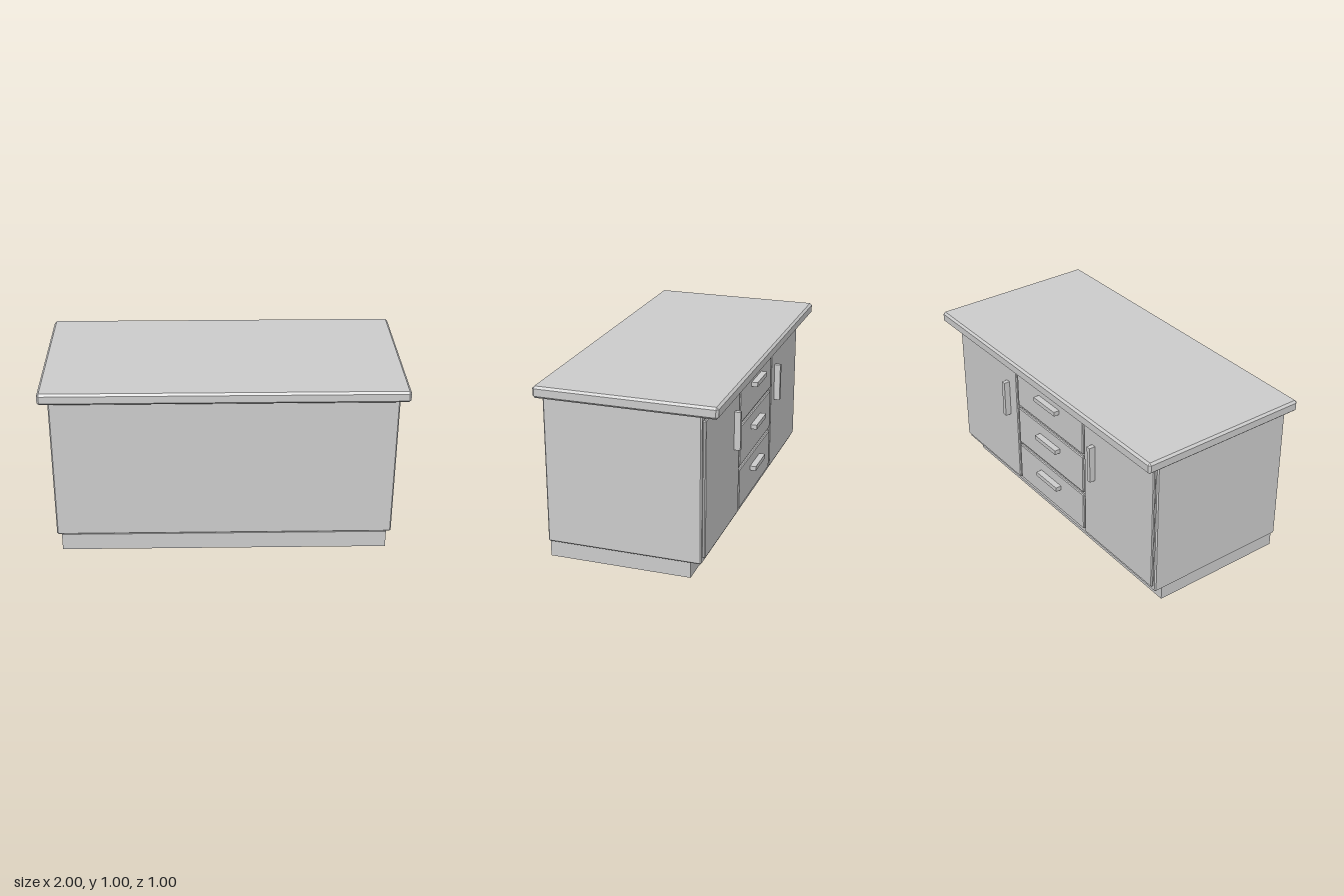
import * as THREE from 'three';
import { ConvexGeometry } from 'three/addons/geometries/ConvexGeometry.js';

const material = new THREE.MeshStandardMaterial({ color: 0xcccccc, flatShading: true });

// Box between two corners, with optional chamfered edges of width c
function block(name, [x0, y0, z0], [x1, y1, z1], c = 0) {
  const w = x1 - x0, h = y1 - y0, d = z1 - z0;
  let geometry;
  if (c > 0) {
    const points = [];
    for (const sx of [-0.5, 0.5]) for (const sy of [-0.5, 0.5]) for (const sz of [-0.5, 0.5]) {
      points.push(
        new THREE.Vector3(sx * w, sy * (h - 2 * c), sz * (d - 2 * c)),
        new THREE.Vector3(sx * (w - 2 * c), sy * h, sz * (d - 2 * c)),
        new THREE.Vector3(sx * (w - 2 * c), sy * (h - 2 * c), sz * d));
    }
    geometry = new ConvexGeometry(points);
  } else {
    geometry = new THREE.BoxGeometry(w, h, d);
  }
  const mesh = new THREE.Mesh(geometry, material);
  mesh.name = name;
  mesh.position.set((x0 + x1) / 2, (y0 + y1) / 2, (z0 + z1) / 2);
  return mesh;
}

export function createModel() {
  const group = new THREE.Group();
  group.name = 'kitchenIsland';

  // Recessed plinth, cabinet body and overhanging worktop
  group.add(
    block('plinth', [-0.92, 0, -0.333], [0.92, 0.1, 0.467]),
    block('cabinetBody', [-0.947, 0.1, -0.4], [0.947, 0.933, 0.467], 0.007),
    block('worktop', [-1, 0.935, -0.5], [1, 1, 0.5], 0.012));

  // Doors and drawers sit on the back of the body
  const back = -0.4, face = -0.418, grip = -0.453;
  const bottom = 0.135, top = 0.9;

  // Mirrored pair of doors, handles near the inner edges
  for (const s of [-1, 1]) {
    const side = s > 0 ? 'left' : 'right';
    const cx = s * 0.634, hx = s * 0.42;
    group.add(
      block(side + 'Door', [cx - 0.301, bottom, face], [cx + 0.301, top, back], 0.005),
      block(side + 'DoorHandle', [hx - 0.013, 0.547, grip], [hx + 0.013, 0.768, face]));
  }

  // Three stacked drawers
  const pitch = (top - bottom) / 3;
  for (let i = 0; i < 3; i++) {
    const cy = bottom + (i + 0.5) * pitch, hy = cy + 0.041;
    group.add(
      block('drawer' + (i + 1), [-0.32, cy - 0.119, face], [0.32, cy + 0.119, back], 0.005),
      block('drawerHandle' + (i + 1), [-0.1, hy - 0.013, grip], [0.1, hy + 0.013, face]));
  }
  return group;
}
